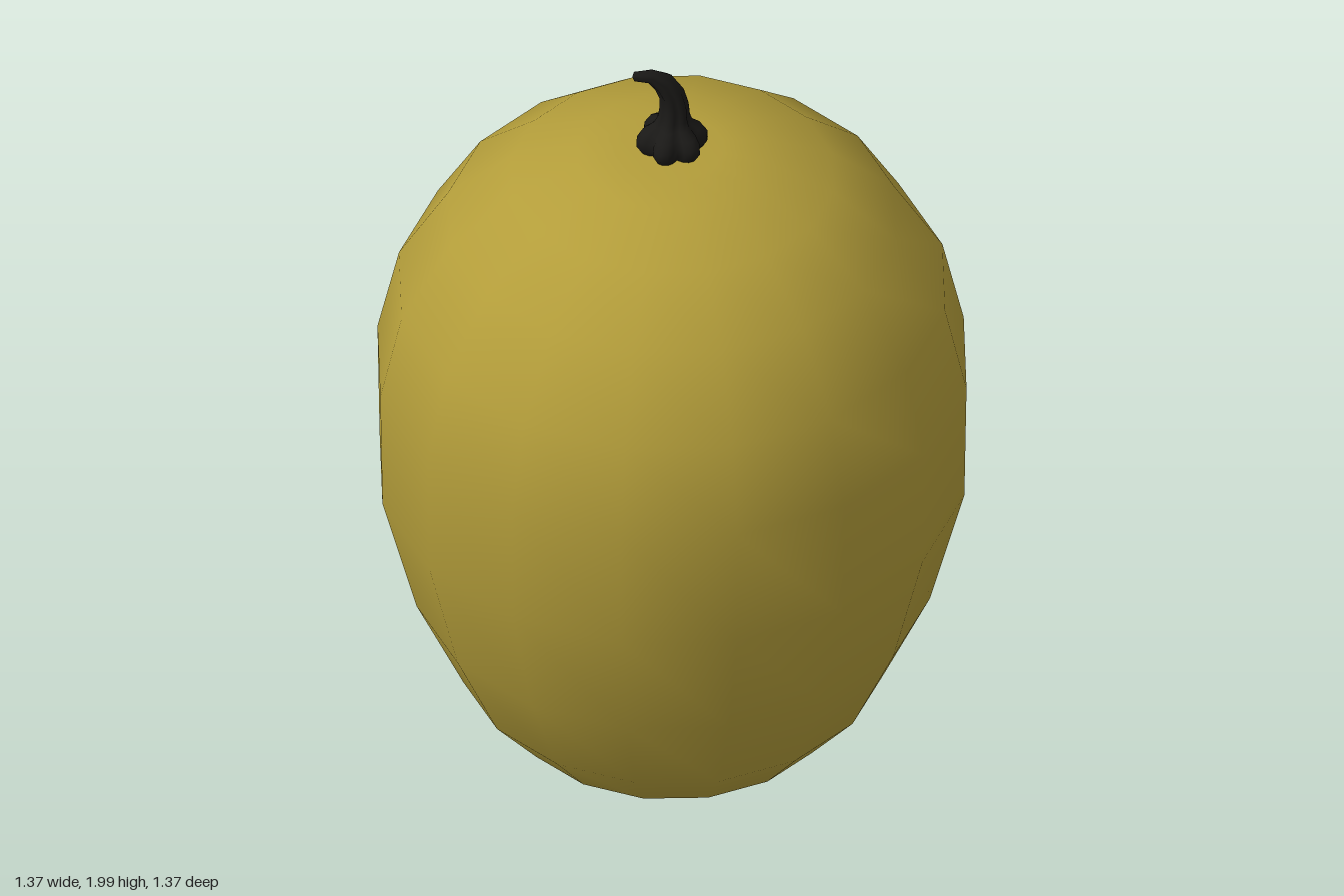
import * as THREE from 'three';

// Sixteen-sided smooth fruit body
function makeBody() {
  const profile = [
    [0, 0.01], [0.11, 0.02], [0.24, 0.07], [0.38, 0.17], [0.49, 0.30], [0.60, 0.54], [0.68, 0.85],
    [0.685, 1.16], [0.635, 1.38], [0.52, 1.57], [0.375, 1.69], [0.22, 1.755], [0.12, 1.77], [0, 1.77],
  ].map(([r, y]) => new THREE.Vector2(r, y));
  const mat = new THREE.MeshStandardMaterial({ color: 0xb39d3a });
  const mesh = new THREE.Mesh(new THREE.LatheGeometry(profile, 16), mat);
  mesh.name = 'fruitBody';
  return mesh;
}

// Six-lobed cross-sections swept up the bending stem
function makeStem() {
  // centre x, centre y, tilt towards -x, radius, lobe depth
  const rings = [
    [0, 1.765, 0, 0.001, 0], [0, 1.765, 0, 0.07, 0.3], [0, 1.785, 0, 0.084, 0.3],
    [0, 1.805, 0, 0.083, 0.3], [0, 1.825, 0, 0.07, 0.28], [0.002, 1.84, 0, 0.047, 0.22],
    [0.004, 1.86, 0, 0.038, 0.18], [0.005, 1.89, 0.1, 0.034, 0.16], [-0.001, 1.925, 0.3, 0.03, 0.15],
    [-0.02, 1.96, 0.7, 0.026, 0.12], [-0.05, 1.983, 1.1, 0.017, 0.08],
    [-0.088, 1.989, 1.45, 0.011, 0], [-0.093, 1.989, 1.45, 0.001, 0],
  ];
  const sides = 36, pos = [], index = [];
  rings.forEach(([cx, cy, tilt, r, lobe], i) => {
    for (let j = 0; j < sides; j++) {
      const a = (j / sides) * Math.PI * 2;
      const d = r * (1 - lobe + lobe * Math.abs(Math.cos(3 * a)));
      const u = d * Math.cos(a);
      pos.push(cx + u * Math.cos(tilt), cy + u * Math.sin(tilt), d * Math.sin(a));
      if (i === rings.length - 1) continue;
      const p = i * sides + j, q = i * sides + (j + 1) % sides;
      index.push(p, p + sides, q, q, p + sides, q + sides);
    }
  });
  const geo = new THREE.BufferGeometry();
  geo.setAttribute('position', new THREE.Float32BufferAttribute(pos, 3));
  geo.setIndex(index);
  geo.computeVertexNormals();
  const mesh = new THREE.Mesh(geo, new THREE.MeshStandardMaterial({ color: 0x1a1917 }));
  mesh.name = 'stem';
  return mesh;
}

export function createModel() {
  const group = new THREE.Group();
  group.name = 'gourd';
  group.add(makeBody(), makeStem());
  return group;
}
